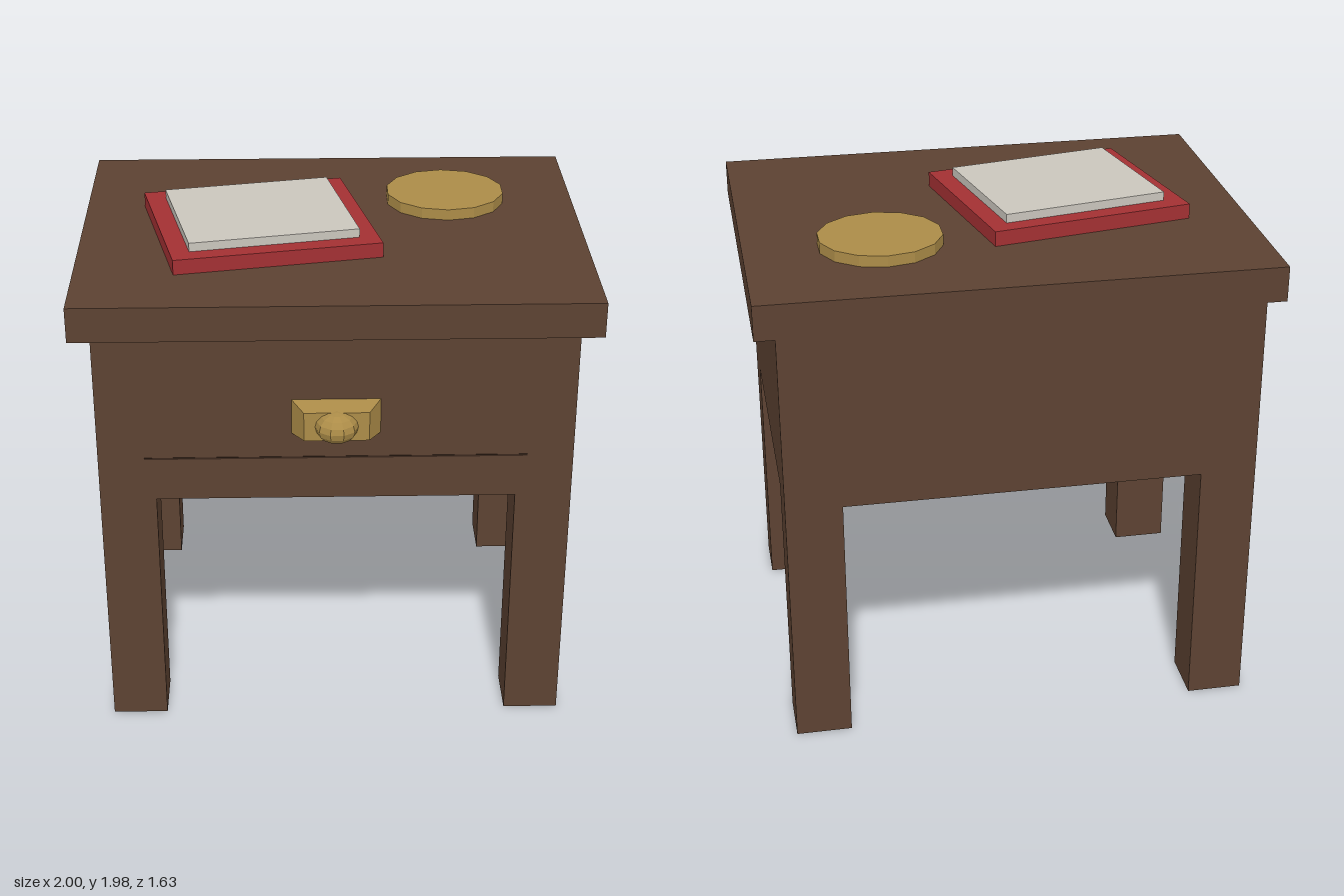
import * as THREE from 'three';

const mat = (color) => new THREE.MeshStandardMaterial({ color, flatShading: true });

export function createModel() {
  const group = new THREE.Group();
  const wood = mat(0x5c4232), darkWood = mat(0x3a281d), red = mat(0xa33033);
  const paper = mat(0xcac6bd), brass = mat(0xac8c48);

  const add = (name, geometry, material) => {
    const mesh = new THREE.Mesh(geometry, material);
    mesh.name = name;
    group.add(mesh);
    return mesh;
  };
  // Box given by its limits on each axis
  const box = (name, material, x0, x1, y0, y1, z0, z1) =>
    add(name, new THREE.BoxGeometry(x1 - x0, y1 - y0, z1 - z0), material)
      .position.set((x0 + x1) / 2, (y0 + y1) / 2, (z0 + z1) / 2);
  // Flat slab from a plan outline of [x, z] corners
  const slab = (name, material, corners, y0, y1) => {
    const shape = new THREE.Shape(corners.map(([x, z]) => new THREE.Vector2(x, -z)));
    const geometry = new THREE.ExtrudeGeometry(shape, { depth: y1 - y0, bevelEnabled: false });
    geometry.rotateX(-Math.PI / 2).translate(0, y0, 0);
    add(name, geometry, material);
  };

  // Table top, overhanging at the front and sides, flush at the back
  box('tableTop', wood, -1, 1, 1.745, 1.885, -0.815, 0.72);
  box('cabinetBody', wood, -0.922, 0.922, 1.03, 1.745, -0.815, 0.65);
  box('drawerSeam', darkWood, -0.742, 0.742, 1.206, 1.214, 0.64, 0.652);

  // Four square legs
  for (const [side, x] of [['right', -0.922], ['left', 0.702]]) {
    box(side + 'FrontLeg', wood, x, x + 0.22, 0, 1.03, 0.437, 0.65);
    box(side + 'BackLeg', wood, x, x + 0.22, 0, 1.03, -0.815, -0.602);
  }

  // Handle plate: a block whose front face is narrower than its back
  const plate = new THREE.BoxGeometry(0.342, 0.145, 0.088);
  const p = plate.attributes.position;
  for (let i = 0; i < p.count; i++) {
    if (p.getZ(i) > 0) p.setXY(i, p.getX(i) * 0.73, p.getY(i) * 0.82);
  }
  plate.computeVertexNormals();
  add('handlePlate', plate, brass).position.set(0, 1.39, 0.694);

  // Faceted knob
  const knob = add('handleKnob', new THREE.SphereGeometry(1, 10, 8), brass);
  knob.scale.set(0.083, 0.062, 0.078);
  knob.position.set(0, 1.39, 0.737);

  // Book lying askew: red cover with a pale panel on top
  slab('bookCover', red, [[-0.765, -0.27], [-0.615, 0.427], [0.192, 0.275], [0.043, -0.422]], 1.885, 1.945);
  slab('bookPanel', paper, [[-0.674, -0.212], [-0.556, 0.345], [0.102, 0.217], [-0.016, -0.34]], 1.945, 1.98);

  // Round brass dish
  const dish = add('dish', new THREE.CylinderGeometry(1, 1, 0.045, 14), brass);
  dish.scale.set(0.243, 1, 0.227);
  dish.position.set(0.473, 1.907, -0.32);

  return group;
}
